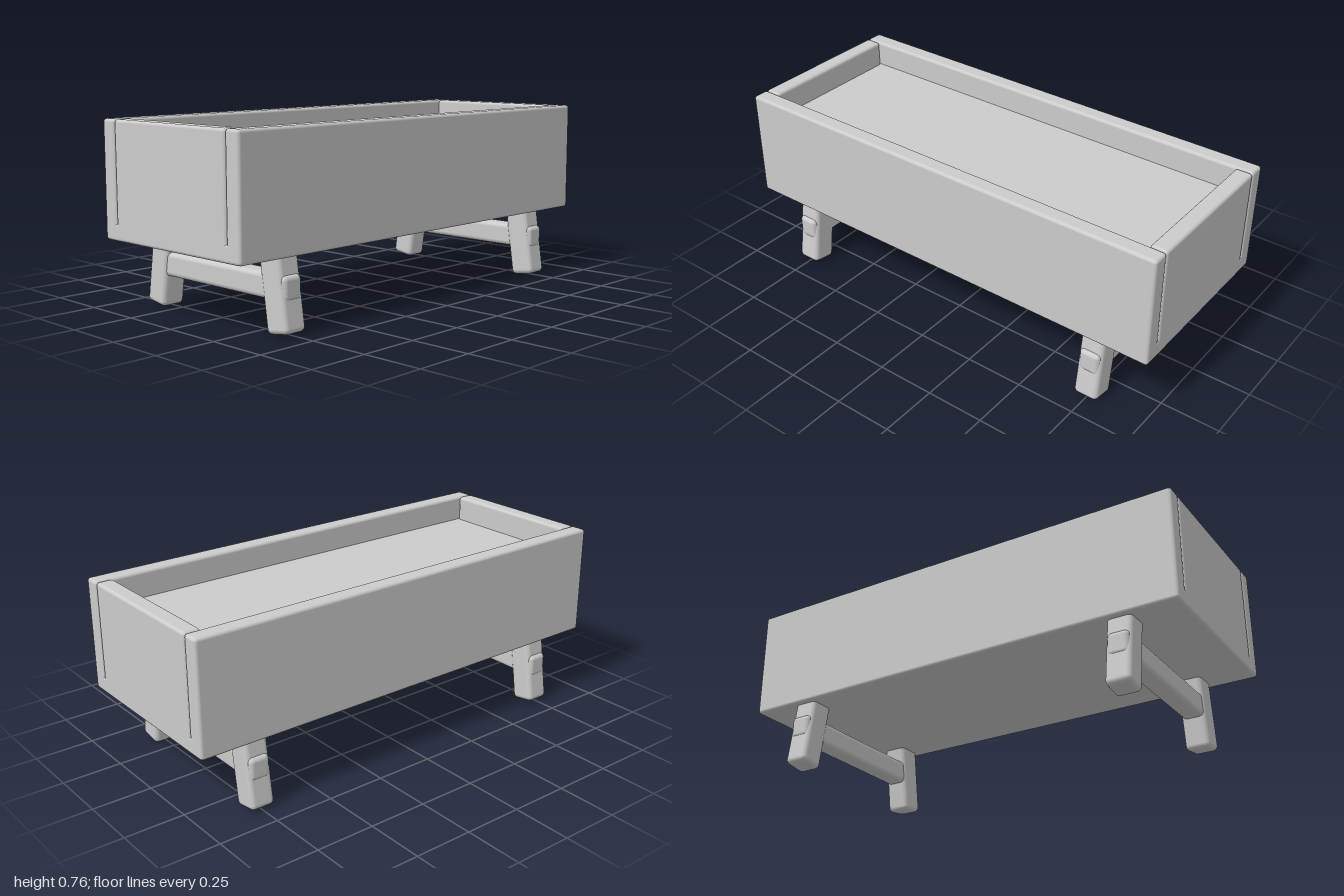
import * as THREE from 'three';
import { RoundedBoxGeometry } from 'three/addons/geometries/RoundedBoxGeometry.js';

export function createModel() {
  const model = new THREE.Group();
  const grey = new THREE.MeshStandardMaterial({ color: 0xcccccc });
  grey.name = 'light grey';

  // Soft-edged block placed by its centre
  const block = (parent, name, size, pos, radius) => {
    const mesh = new THREE.Mesh(new RoundedBoxGeometry(...size, 3, radius), grey);
    mesh.name = name;
    mesh.position.set(...pos);
    parent.add(mesh);
    return mesh;
  };

  const bottom = 0.293, top = 0.765, height = top - bottom, midY = (top + bottom) / 2;
  const wall = 0.073;

  // Trough: long boards, end panels, base slab and raised floor
  const trough = new THREE.Group();
  trough.name = 'trough';
  model.add(trough);
  for (const s of [1, -1]) {
    block(trough, s > 0 ? 'frontBoard' : 'backBoard', [2, height, wall], [0, midY, s * (0.4 - wall / 2)], 0.013);
    block(trough, s > 0 ? 'leftEndPanel' : 'rightEndPanel', [wall, height, 0.652], [s * (1 - wall / 2), midY, 0], 0.013);
  }
  block(trough, 'baseSlab', [1.999, 0.07, 0.79], [0, bottom + 0.035, 0], 0.012);
  const floor = new THREE.Mesh(new THREE.BoxGeometry(1.88, 0.355, 0.68), grey);
  floor.name = 'floor';
  floor.position.set(0, 0.655 - 0.1775, 0);
  trough.add(floor);

  // Two trestles: splayed legs joined by a through stretcher
  const splay = 0.147, legLength = 0.42;
  for (const sx of [1, -1]) {
    const trestle = new THREE.Group();
    trestle.name = sx > 0 ? 'leftTrestle' : 'rightTrestle';
    trestle.position.x = sx * 0.75;
    model.add(trestle);
    for (const sz of [1, -1]) {
      const z = sz * (0.362 - Math.sin(splay) * legLength / 2);
      const y = 0.009 + Math.cos(splay) * legLength / 2;
      const leg = block(trestle, sz > 0 ? 'frontLeg' : 'backLeg', [0.105, legLength, 0.108], [0, y, z], 0.02);
      leg.rotation.x = -sz * splay;
    }
    block(trestle, 'stretcher', [0.09, 0.098, 0.8], [0, 0.179, 0], 0.02);
  }

  return model;
}
